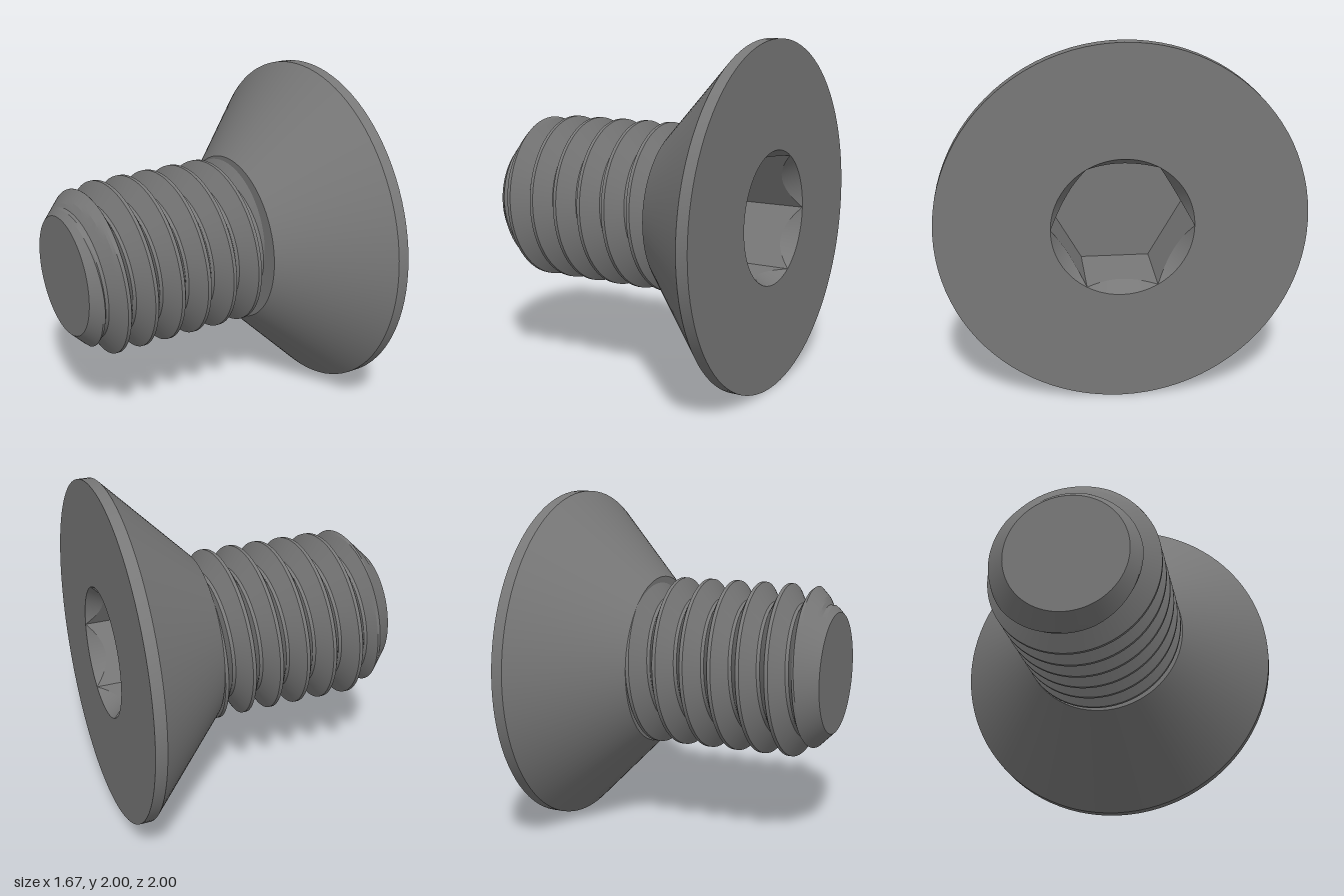
import * as THREE from 'three';
import { toCreasedNormals } from 'three/addons/utils/BufferGeometryUtils.js';

const SEGMENTS = 96;
const AXIS_HEIGHT = 1;
const END = -0.833, NECK = 0.267, RIM = 0.767, FACE = 0.833;
const PITCH = 0.167, MAJOR = 0.5, MINOR = 0.39, FLAT = 0.02;
const HEX = 1 / 3, HEX_CORNER = HEX / Math.cos(Math.PI / 6), SOCKET_DEPTH = 0.417;

// Surface swept around the x axis; profile(angle) returns a list of [x, radius],
// which may change with the angle. Angle 0 is up, a quarter turn is the front.
function sweep(profile) {
  const rings = [];
  for (let i = 0; i <= SEGMENTS; i++) {
    const a = (i / SEGMENTS) * Math.PI * 2;
    rings.push(profile(a).map(([x, r]) =>
      new THREE.Vector3(x, AXIS_HEIGHT + r * Math.cos(a), r * Math.sin(a))));
  }
  const positions = [];
  const triangle = (a, b, c) => {
    if (new THREE.Triangle(a, b, c).getArea() < 1e-8) return;
    for (const p of [a, b, c]) positions.push(p.x, p.y, p.z);
  };
  for (let i = 0; i < SEGMENTS; i++) {
    const p = rings[i], q = rings[i + 1];
    for (let j = 0; j < p.length - 1; j++) {
      triangle(p[j], q[j], p[j + 1]);
      triangle(q[j], q[j + 1], p[j + 1]);
    }
  }
  const geometry = new THREE.BufferGeometry();
  geometry.setAttribute('position', new THREE.Float32BufferAttribute(positions, 3));
  return toCreasedNormals(geometry, 0.2);
}

// Helical thread radius, cut by the 45 degree chamfer at the tip
const crestAt = (angle) => 0.13 + (PITCH * angle) / (Math.PI * 2);

function threadRadius(x, angle) {
  const turns = (x - crestAt(angle)) / PITCH;
  const offset = Math.abs(turns - Math.round(turns)) * PITCH;
  const slope = (offset - FLAT / 2) / (PITCH / 2 - FLAT);
  const r = THREE.MathUtils.lerp(MAJOR, MINOR, THREE.MathUtils.clamp(slope, 0, 1));
  return Math.min(r, 0.35 + x - END);
}

function threadProfile(angle) {
  const points = [[END, 0]];
  const add = (raw) => {
    const x = THREE.MathUtils.clamp(raw, END, NECK);
    points.push([x, threadRadius(x, angle)]);
  };
  const flank = PITCH / 2 - FLAT, steps = 5;
  for (let turn = -8; turn <= 2; turn++) {
    const crest = crestAt(angle) + turn * PITCH;
    for (let k = 0; k <= steps; k++) add(crest - PITCH / 2 + FLAT / 2 + (flank * k) / steps);
    for (let k = 0; k <= steps; k++) add(crest + FLAT / 2 + (flank * k) / steps);
  }
  return points;
}

// Countersunk head: back shoulder, cone, narrow rim and flat face
const headProfile = () => [
  [NECK, 0.37], [NECK, MAJOR], [RIM, 1], [FACE, 1], [FACE, HEX_CORNER],
];

// Hexagonal recess with a conical lead-in
function socketProfile(angle) {
  const sector = Math.PI / 3;
  const r = HEX / Math.cos(angle - Math.round(angle / sector) * sector);
  const lead = (HEX_CORNER - r) * Math.sqrt(3);
  return [
    [FACE, HEX_CORNER], [FACE - lead, r], [FACE - SOCKET_DEPTH, r], [FACE - SOCKET_DEPTH, 0],
  ];
}

export function createModel() {
  const steel = new THREE.MeshStandardMaterial({ color: 0x787878 });
  steel.name = 'steel';

  const screw = new THREE.Group();
  screw.name = 'countersunkScrew';
  const parts = { threadedShank: threadProfile, head: headProfile, hexSocket: socketProfile };
  for (const [name, profile] of Object.entries(parts)) {
    const mesh = new THREE.Mesh(sweep(profile), steel);
    mesh.name = name;
    screw.add(mesh);
  }
  return screw;
}
